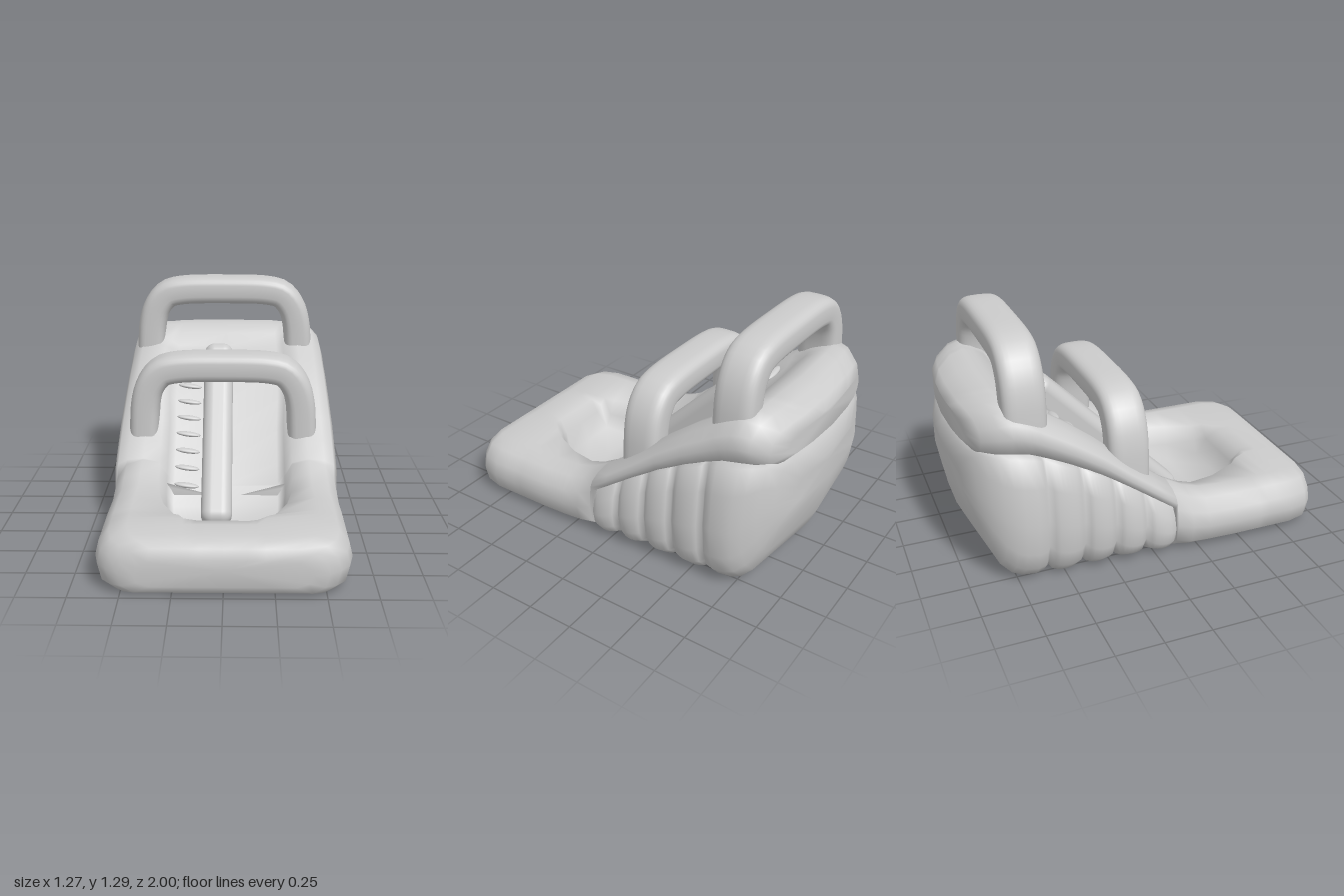
import * as THREE from 'three';
import { RoundedBoxGeometry } from 'three/addons/geometries/RoundedBoxGeometry.js';

const material = new THREE.MeshStandardMaterial({ color: 0xcccccc });

function add(parent, name, geometry) {
  const mesh = new THREE.Mesh(geometry, material);
  mesh.name = name;
  parent.add(mesh);
  return mesh;
}

// Skin over a list of closed rings, capped at both ends
function loft(rings) {
  const n = rings[0].length, pos = [], idx = [];
  rings.forEach(r => r.forEach(p => pos.push(...p)));
  for (let i = 0; i < rings.length - 1; i++) {
    for (let j = 0; j < n; j++) {
      const k = (j + 1) % n, a = i * n + j, b = i * n + k;
      idx.push(a, a + n, b, b, a + n, b + n);
    }
  }
  [0, rings.length - 1].forEach((r, end) => {
    const c = pos.length / 3;
    pos.push(...[0, 1, 2].map(d => rings[r].reduce((s, p) => s + p[d], 0) / n));
    for (let j = 0; j < n; j++) {
      const a = r * n + j, b = r * n + (j + 1) % n;
      idx.push(c, end ? b : a, end ? a : b);
    }
  });
  const g = new THREE.BufferGeometry();
  g.setAttribute('position', new THREE.Float32BufferAttribute(pos, 3));
  g.setIndex(idx);
  g.computeVertexNormals();
  return g;
}

// Mirror a half section (bottom centre to top centre) into a full ring at z;
// towards the back the ring bows so that the rear wall is rounded in plan
function mirror(half, z) {
  const bow = 0.25 * THREE.MathUtils.smoothstep(-z, 0.6, 0.95);
  const full = [...half, ...half.slice(1, -1).reverse().map(([x, y]) => [-x, y])];
  return full.map(([x, y]) => [x, y, z + bow * x * x]);
}

// Rim and bed stations: z, half width, lower edge, rim top, bed height, bed half width
const stations = [
  [1.0, 0.43, 0.06, 0.2, 0.2, 0.15],
  [0.98, 0.51, 0.02, 0.25, 0.25, 0.15],
  [0.95, 0.565, 0.01, 0.275, 0.275, 0.15],
  [0.9, 0.612, 0.005, 0.287, 0.287, 0.15],
  [0.8, 0.635, 0, 0.295, 0.295, 0.15],
  [0.72, 0.635, 0, 0.295, 0.28, 0.16],
  [0.66, 0.635, 0, 0.295, 0.22, 0.18],
  [0.61, 0.635, 0, 0.295, 0.11, 0.21],
  [0.45, 0.635, 0, 0.295, 0.06, 0.28],
  [0.3, 0.63, 0, 0.3, 0.06, 0.31],
  [0.2, 0.63, 0.005, 0.33, 0.134, 0.32],
  [0.11, 0.625, 0.02, 0.375, 0.218, 0.32],
  [0.1, 0.622, 0.26, 0.38, 0.227, 0.32],
  [0, 0.62, 0.33, 0.455, 0.32, 0.32],
  [-0.15, 0.615, 0.435, 0.57, 0.46, 0.32],
  [-0.3, 0.605, 0.53, 0.7, 0.605, 0.33],
  [-0.45, 0.597, 0.61, 0.81, 0.745, 0.33],
  [-0.56, 0.59, 0.66, 0.88, 0.83, 0.33],
  [-0.62, 0.588, 0.685, 0.92, 0.86, 0.33],
  [-0.67, 0.585, 0.7, 0.945, 0.93, 0.32],
  [-0.74, 0.582, 0.708, 0.97, 0.972, 0.31],
  [-0.8, 0.578, 0.715, 0.98, 0.988, 0.3],
  [-0.88, 0.56, 0.72, 0.965, 0.972, 0.27],
  [-0.95, 0.5, 0.725, 0.92, 0.93, 0.2],
  [-0.98, 0.4, 0.76, 0.88, 0.885, 0.13],
];

// Linear lookup of one station column at z
function stationAt(z, col) {
  const i = Math.max(1, stations.findIndex(s => s[0] <= Math.max(z, -0.98)));
  const a = stations[i - 1], b = stations[i];
  return a[col] + (b[col] - a[col]) * Math.min(1, (a[0] - z) / (a[0] - b[0]));
}

function rimRing([z, w, b, top, bed, inner]) {
  const rise = t => b + (top - b) * t, wall = t => bed + (top - bed) * t;
  const floor = Math.min(b, bed - 0.06);
  return mirror([
    [0, floor], [w - 0.2, floor], [w - 0.08, b], [w - 0.02, rise(0.15)],
    [w, rise(0.45)], [w - 0.018, rise(0.7)], [w - 0.07, rise(0.92)],
    [Math.max(w - 0.16, inner + 0.08), top], [inner + 0.05, wall(0.85)],
    [inner + 0.01, wall(0.4)], [inner - 0.03, bed], [0, bed],
  ], z);
}

function baseRing([z, w, b, t = Math.max(0.26, stationAt(z, 2))]) {
  const h = t - b, cap = Math.min(t + 0.03, stationAt(z, 4) - 0.04);
  return mirror([
    [0, b], [w - 0.1, b], [w - 0.04, b + 0.1 * h], [w - 0.01, b + 0.25 * h],
    [w, b + 0.5 * h], [w - 0.015, b + 0.8 * h], [w - 0.05, t + 0.01],
    [w - 0.13, t + 0.025], [w - 0.24, cap], [0, cap],
  ], z);
}

// Ribbed base stations: z, half width, bottom, top where it leaves the rim
function baseStations() {
  const list = [[0.15, 0.58, 0.06]], seams = [0.11, -0.06, -0.23, -0.4, -0.59];
  for (let i = 0; i < seams.length - 1; i++) {
    for (let k = 0; k < 8; k++) {
      const bulge = Math.sqrt(Math.sin(Math.PI * k / 8));
      list.push([seams[i] + (seams[i + 1] - seams[i]) * k / 8, 0.6 + 0.035 * bulge, 0.04 - 0.03 * bulge]);
    }
  }
  return [...list, [-0.59, 0.6, 0.05], [-0.61, 0.625, 0.03], [-0.66, 0.635, 0.022], [-0.76, 0.632, 0.03],
    [-0.83, 0.62, 0.05], [-0.89, 0.595, 0.1], [-0.94, 0.55, 0.21, 0.725], [-0.975, 0.48, 0.34, 0.69],
    [-1.0, 0.36, 0.47, 0.6]];
}

// Padded arch with a rounded rectangular section
function archGeometry() {
  const half = [[0.455, 0.4], [0.452, 0.52], [0.44, 0.66], [0.41, 0.755], [0.35, 0.825], [0.27, 0.848]];
  const pts = [...half, [0, 0.857], ...half.map(([x, y]) => [-x, y]).reverse()];
  const curve = new THREE.CatmullRomCurve3(pts.map(([x, y]) => new THREE.Vector3(x, y, 0)));
  const soft = v => Math.sign(v) * Math.abs(v) ** 0.6;
  const rings = [];
  for (let i = 0; i <= 48; i++) {
    const c = curve.getPointAt(i / 48), t = curve.getTangentAt(i / 48);
    rings.push(Array.from({ length: 28 }, (_, j) => {
      const a = j / 28 * Math.PI * 2, n = soft(Math.cos(a)) * 0.083;
      return [c.x - t.y * n, c.y + t.x * n, -soft(Math.sin(a)) * 0.112];
    }));
  }
  return loft(rings);
}

export function createModel() {
  const model = new THREE.Group();
  model.name = 'inflatableSlide';

  add(model, 'rimAndSlideBed', loft(stations.map(rimRing)));
  add(model, 'ribbedBase', loft(baseStations().map(baseRing)));

  // Arches over the slide
  const arch = archGeometry();
  add(model, 'frontArch', arch).position.set(-0.02, 0, -0.13);
  add(model, 'rearArch', arch).position.set(-0.02, 0.35, -0.67);

  // Divider between the climbing lane and the sliding lane
  const divider = add(model, 'laneDivider', new RoundedBoxGeometry(0.17, 0.18, 1.15, 5, 0.06));
  divider.position.set(-0.05, 0.465, -0.11);
  divider.rotation.x = Math.PI / 4;

  // Climbing steps
  const steps = new THREE.Group();
  steps.name = 'climbingSteps';
  model.add(steps);
  const stepGeometry = new THREE.SphereGeometry(1, 16, 10);
  for (let i = 0; i < 9; i++) {
    const z = 0.127 - i * 0.081;
    const step = add(steps, 'step', stepGeometry);
    step.scale.set(0.07, 0.014, 0.024);
    step.position.set(-0.22, 0.345 - 0.91 * z, z);
    step.rotation.z = -0.13;
  }
  return model;
}
